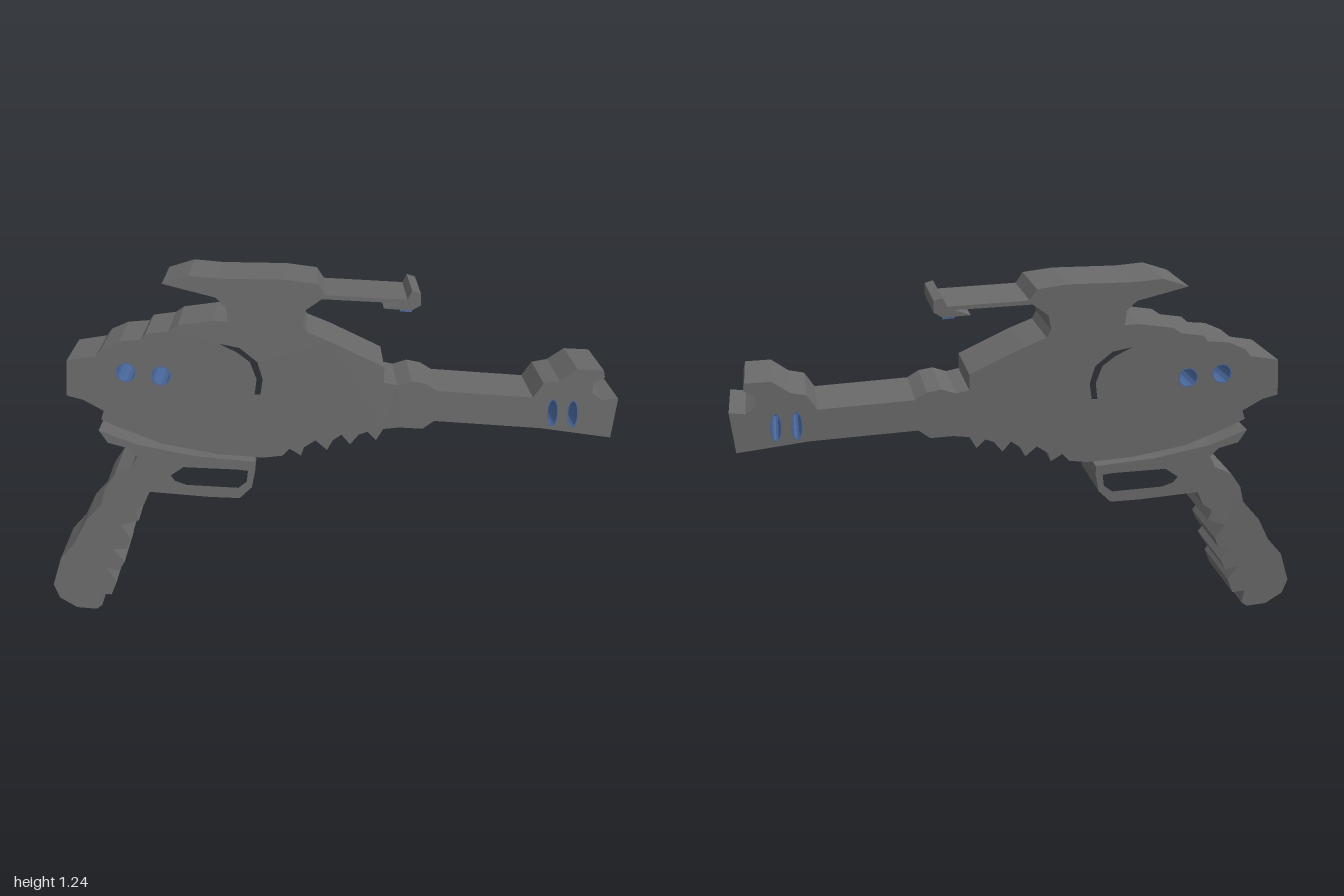
import * as THREE from 'three';

// Shapes are drawn on the tilted front face; local z runs from back (-1) to front (0)
const TILT = new THREE.Matrix4().makeBasis(
  new THREE.Vector3(1, 0, -0.078),
  new THREE.Vector3(0, 1, -0.099),
  new THREE.Vector3(0.025, 0.034, 0.315)
).setPosition(0, 0, 0.1975);

const toPoints = (list) => list.map(([x, y]) => new THREE.Vector2(x, y));

function ellipse(PathType, x, y, rx, ry) {
  const path = new PathType();
  path.absellipse(x, y, rx, ry, 0, Math.PI * 2, false, 0);
  return path;
}

export function createModel() {
  const model = new THREE.Group();
  const grey = new THREE.MeshStandardMaterial({ color: 0x696969 });
  grey.name = 'grey casing';
  const blue = new THREE.MeshStandardMaterial({ color: 0x4a689c });
  blue.name = 'blue lining';

  function slab(name, shape, material) {
    const geometry = new THREE.ExtrudeGeometry(shape, { depth: 1, bevelEnabled: false, curveSegments: 6 });
    geometry.translate(0, 0, -1).applyMatrix4(TILT);
    const mesh = new THREE.Mesh(geometry, material);
    mesh.name = name;
    model.add(mesh);
  }

  // Cuts an oval through a shape and lines it with a thin blue sleeve
  function linedHole(name, shape, x, y, rx, ry) {
    shape.holes.push(ellipse(THREE.Path, x, y, rx, ry));
    const sleeve = ellipse(THREE.Shape, x, y, rx, ry);
    sleeve.holes.push(ellipse(THREE.Path, x, y, rx - 0.004, ry - 0.004));
    slab(name, sleeve, blue);
  }

  // Oval body with a ribbed lower front edge
  const body = new THREE.Shape(toPoints([
    [-0.90, 0.95], [-0.80, 0.965], [-0.78, 0.99], [-0.72, 1.015], [-0.645, 1.02],
    [-0.63, 1.04], [-0.55, 1.05], [-0.52, 1.07], [-0.40, 1.085], [-0.17, 1.07],
    [-0.08, 1.043], [0, 1.01], [0.185, 0.92], [0.185, 0.70],
    [0.16, 0.66], [0.13, 0.69], [0.10, 0.68], [0.07, 0.645], [0.04, 0.68],
    [0.01, 0.66], [-0.01, 0.625], [-0.05, 0.66], [-0.09, 0.635], [-0.10, 0.605],
    [-0.14, 0.63], [-0.165, 0.605], [-0.23, 0.598], [-0.39, 0.612], [-0.58, 0.65],
    [-0.74, 0.715], [-0.79, 0.74], [-0.78, 0.77], [-0.85, 0.81], [-0.905, 0.825]
  ]));
  // Crescent slot
  body.holes.push(new THREE.Path(toPoints([
    [-0.38, 1.005], [-0.31, 0.99], [-0.25, 0.94], [-0.232, 0.88], [-0.24, 0.825],
    [-0.26, 0.825], [-0.253, 0.88], [-0.275, 0.94], [-0.32, 0.975]
  ])));
  for (const [x, y] of [[-0.70, 0.905], [-0.58, 0.893]]) {
    linedHole('bodyHoleLining', body, x, y, 0.035, 0.035);
  }
  slab('body', body, grey);

  // Barrel with notched muzzle
  const barrel = new THREE.Shape(toPoints([
    [0.185, 0.865], [0.23, 0.855], [0.28, 0.87], [0.33, 0.86], [0.37, 0.835],
    [0.70, 0.81], [0.735, 0.86], [0.79, 0.87], [0.85, 0.91], [0.94, 0.905],
    [0.945, 0.88], [0.905, 0.86], [0.905, 0.825], [0.94, 0.80], [0.995, 0.805],
    [0.975, 0.665], [0.73, 0.70], [0.36, 0.728], [0.32, 0.70], [0.24, 0.705], [0.185, 0.70]
  ]));
  for (const [x, y] of [[0.77, 0.755], [0.84, 0.75]]) {
    linedHole('barrelSlotLining', barrel, x, y, 0.02, 0.05);
  }
  slab('barrel', barrel, grey);

  // Sight on its neck, with a thin arm ending in a hook
  slab('sight', new THREE.Shape(toPoints([
    [-0.57, 1.213], [-0.48, 1.24], [-0.38, 1.23], [-0.15, 1.225], [-0.045, 1.21],
    [-0.02, 1.172], [0.26, 1.155], [0.275, 1.185], [0.305, 1.175], [0.305, 1.135],
    [0.275, 1.118], [0.18, 1.125], [0.235, 1.143], [-0.03, 1.158], [-0.085, 1.12],
    [-0.095, 1.07], [-0.08, 1.043], [-0.17, 1.07], [-0.35, 1.082],
    [-0.355, 1.13], [-0.39, 1.165]
  ])), grey);
  slab('hookLining', new THREE.Shape(toPoints([
    [0.235, 1.121], [0.275, 1.118], [0.275, 1.112], [0.235, 1.115]
  ])), blue);

  // Grip with finger notches, joined to the trigger guard
  const grip = new THREE.Shape(toPoints([
    [-0.80, 0.70], [-0.67, 0.648], [-0.47, 0.605], [-0.26, 0.582], [-0.26, 0.55],
    [-0.272, 0.49], [-0.315, 0.45], [-0.42, 0.455], [-0.63, 0.475],
    [-0.65, 0.43], [-0.685, 0.405], [-0.67, 0.37], [-0.735, 0.35],
    [-0.70, 0.30], [-0.715, 0.265], [-0.765, 0.26], [-0.725, 0.215],
    [-0.745, 0.18], [-0.79, 0.19], [-0.755, 0.14], [-0.775, 0.09], [-0.82, 0.095],
    [-0.81, 0.05], [-0.83, 0.035], [-0.90, 0.042], [-0.96, 0.08], [-0.98, 0.13],
    [-0.95, 0.23], [-0.90, 0.285], [-0.86, 0.365], [-0.80, 0.43], [-0.785, 0.49],
    [-0.75, 0.54], [-0.69, 0.565], [-0.67, 0.605], [-0.70, 0.635], [-0.77, 0.655]
  ]));
  grip.holes.push(new THREE.Path(toPoints([
    [-0.555, 0.535], [-0.51, 0.565], [-0.32, 0.555], [-0.285, 0.55],
    [-0.29, 0.51], [-0.32, 0.488], [-0.50, 0.50], [-0.54, 0.515]
  ])));
  slab('gripAndTriggerGuard', grip, grey);

  return model;
}
